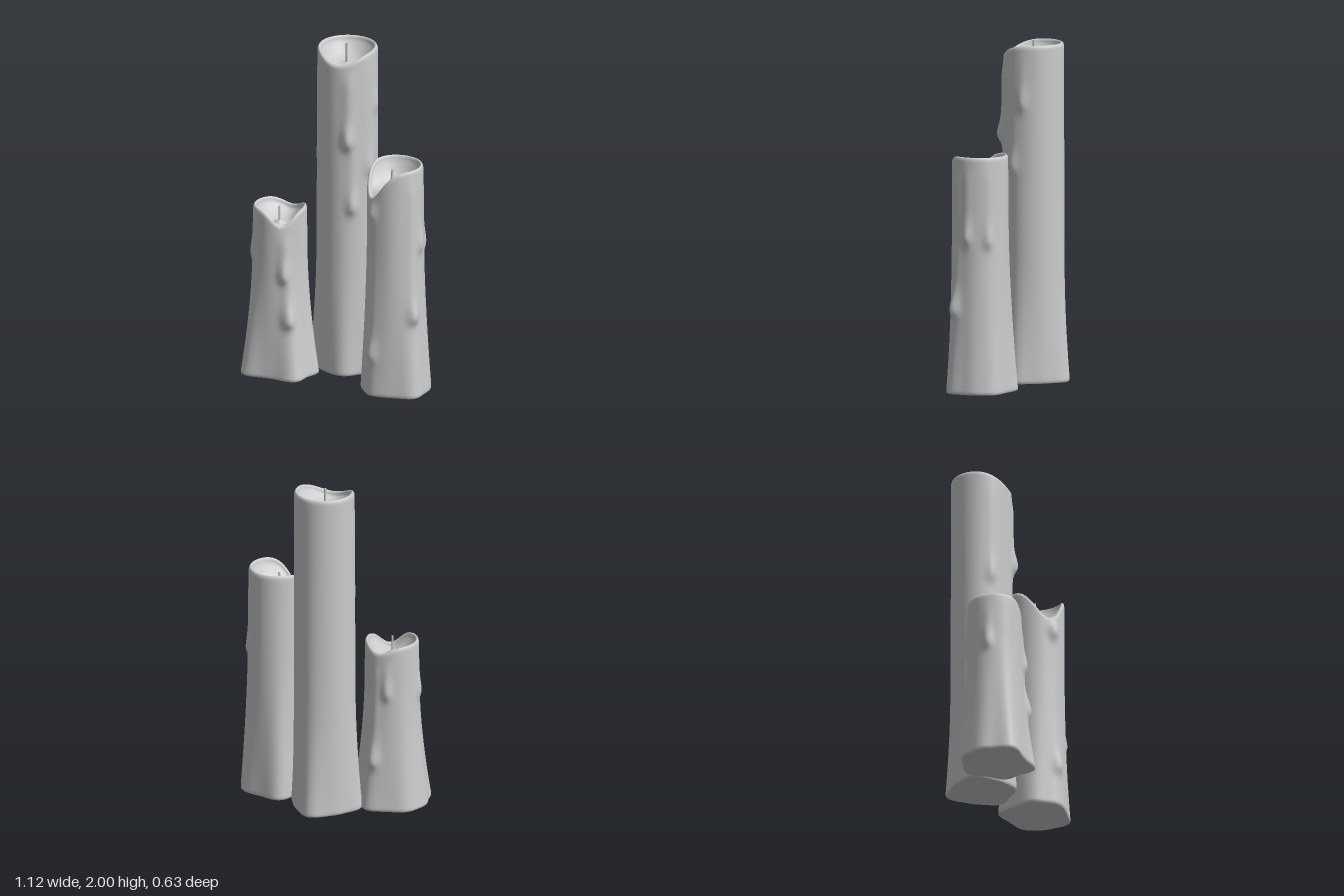
import * as THREE from 'three';

const SEG = 128, BODY_ROWS = 110, RIM_ROWS = 8, BOWL_ROWS = 18;
const DRIP_WIDTH = 0.18, LOBE_WIDTH = 0.38;
const material = new THREE.MeshStandardMaterial({ color: 0xcccccc });
const { lerp, clamp, smoothstep, degToRad } = THREE.MathUtils;

// Bell curve, and the same around the candle at an angle in degrees
const bell = (d, w) => Math.exp(-((d / w) ** 2));
const bellAt = (a, deg, w) => {
  const d = a - degToRad(deg);
  return bell(Math.atan2(Math.sin(d), Math.cos(d)), w);
};

function makeWax(c) {
  const rimY = a => c.dips.reduce((y, d) => y - d.depth * bellAt(a, d.angle, d.width), c.top);

  // Outer radius: straight shaft, lobed flaring foot, running drips ending in beads
  const shaft = (a, y) => {
    const footR = c.lobes.reduce((r, [deg, out]) => r + out * bellAt(a, deg, LOBE_WIDTH), c.footR);
    const t = clamp((y - c.base) / (c.top - c.base), 0, 1);
    const flare = 0.12 * (1 - t) + 0.88 * Math.max(0, 1 - (y - c.base) / c.flareHeight) ** 1.7;
    let r = lerp(c.r, footR, flare) + 0.15 * (footR - c.footR) * (1 - t);
    for (const [deg, end, bead] of c.drips) {
      const run = smoothstep(y, end - 0.02, end + 0.05) * (1 - smoothstep(y, rimY(a) - 0.15, rimY(a) - 0.02));
      const drop = bell(y - end - 0.03, y < end + 0.03 ? 0.045 : 0.09);
      r += bead * (0.3 * run + drop) * bellAt(a, deg, DRIP_WIDTH);
    }
    return r;
  };

  const pos = [], index = [];
  const addRing = f => {
    for (let i = 0; i < SEG; i++) pos.push(...f((i / SEG) * Math.PI * 2));
  };
  const point = (a, r, y, ox = 0, oz = 0) => [c.x + ox + r * Math.cos(a), y, c.z + oz + r * Math.sin(a)];
  const bottomEdge = a => point(a, shaft(a, c.base) * 0.96, c.base);

  // Rounded bottom edge, then the shaft up to the rim
  addRing(bottomEdge);
  addRing(a => point(a, shaft(a, c.base) * 0.99, c.base + 0.006));
  for (let j = 0; j < BODY_ROWS; j++) {
    addRing(a => {
      const y = lerp(c.base + 0.018, rimY(a) - 0.05, j / (BODY_ROWS - 1));
      return point(a, shaft(a, y), y);
    });
  }
  // Rolled rim
  for (let j = 0; j <= RIM_ROWS; j++) {
    const phi = Math.PI * j / RIM_ROWS;
    addRing(a => point(a, shaft(a, rimY(a)) * (0.93 + 0.07 * Math.cos(phi)), rimY(a) - 0.025 * (1 - Math.sin(phi))));
  }
  // Melted bowl sinking toward the wick, with a small mound around it
  for (let j = 1; j <= BOWL_ROWS; j++) {
    const s = Math.max(1 - j / BOWL_ROWS, 0.004);
    addRing(a => {
      const y = lerp(c.floor, rimY(a) - 0.025, s ** 2.6) + c.mound * bell(s, 0.22);
      return point(a, shaft(a, rimY(a)) * 0.86 * s, y, (1 - s) * (c.wickX - c.x), (1 - s) * (c.wickZ - c.z));
    });
  }
  const rows = pos.length / 3 / SEG;
  for (let j = 0; j < rows - 1; j++) {
    for (let i = 0; i < SEG; i++) {
      const a = j * SEG + i, e = j * SEG + (i + 1) % SEG;
      index.push(a, a + SEG, e, e, a + SEG, e + SEG);
    }
  }
  // Bottom cap with its own corners, so its edge stays crisp
  const cap = rows * SEG;
  addRing(bottomEdge);
  pos.push(c.x, c.base - 0.008, c.z);
  for (let i = 0; i < SEG; i++) index.push(cap + SEG, cap + i, cap + (i + 1) % SEG);

  const g = new THREE.BufferGeometry();
  g.setAttribute('position', new THREE.Float32BufferAttribute(pos, 3));
  g.setIndex(index);
  g.computeVertexNormals();
  return g;
}

function makeCandle(c) {
  const group = new THREE.Group();
  group.name = c.name;
  const wax = new THREE.Mesh(makeWax(c), material);
  wax.name = 'wax';
  const low = c.floor - 0.01;
  const wick = new THREE.Mesh(new THREE.CylinderGeometry(0.007, 0.007, c.wickTop - low, 12), material);
  wick.name = 'wick';
  wick.position.set(c.wickX, (c.wickTop + low) / 2, c.wickZ);
  wick.rotation.z = c.wickTilt;
  group.add(wax, wick);
  return group;
}

// Angles in degrees from +x toward +z
// lobes: [angle, bulge of the foot]; drips: [angle, end height, bead size]
const shortCandle = {
  name: 'shortCandle', x: -0.355, z: 0.07, r: 0.155, base: 0.03, top: 1.04,
  footR: 0.185, flareHeight: 0.75, floor: 0.925, mound: 0.03,
  wickX: -0.35, wickZ: 0.1, wickTop: 1.04, wickTilt: 0,
  dips: [{ angle: 70, depth: 0.085, width: 0.55 }, { angle: 285, depth: 0.045, width: 0.6 }],
  lobes: [[5, 0.045], [52, 0.06], [140, 0.05], [185, 0.025], [225, 0.02], [300, 0.03]],
  drips: [[68, 0.62, 0.02], [60, 0.35, 0.025], [180, 0.7, 0.014], [290, 0.3, 0.02], [265, 0.72, 0.015]],
};
const tallCandle = {
  name: 'tallCandle', x: 0, z: -0.1, r: 0.174, base: 0.03, top: 1.99,
  footR: 0.18, flareHeight: 0.7, floor: 1.875, mound: 0.01,
  wickX: -0.005, wickZ: -0.1, wickTop: 2, wickTilt: 0,
  dips: [{ angle: 93, depth: 0.07, width: 0.85 }],
  lobes: [[20, 0.033], [82, 0.022], [178, 0.038], [280, 0.035]],
  drips: [[75, 1.42, 0.026], [66, 1.02, 0.02], [10, 1.62, 0.012], [30, 1.25, 0.014], [145, 1.3, 0.01]],
};
const middleCandle = {
  name: 'middleCandle', x: 0.352, z: 0.135, r: 0.161, base: 0.008, top: 1.38,
  footR: 0.18, flareHeight: 0.95, floor: 1.235, mound: 0.015,
  wickX: 0.33, wickZ: 0.13, wickTop: 1.345, wickTilt: -0.08,
  dips: [{ angle: 137, depth: 0.18, width: 0.75 }],
  lobes: [[0, 0.02], [42, 0.038], [125, 0.02], [170, 0.018], [250, 0.035], [325, 0.025]],
  drips: [[128, 1.08, 0.018], [122, 0.22, 0.016], [40, 0.46, 0.024], [15, 0.88, 0.016], [330, 0.86, 0.014]],
};

export function createModel() {
  const model = new THREE.Group();
  model.name = 'candles';
  [shortCandle, tallCandle, middleCandle].forEach(c => model.add(makeCandle(c)));
  return model;
}
